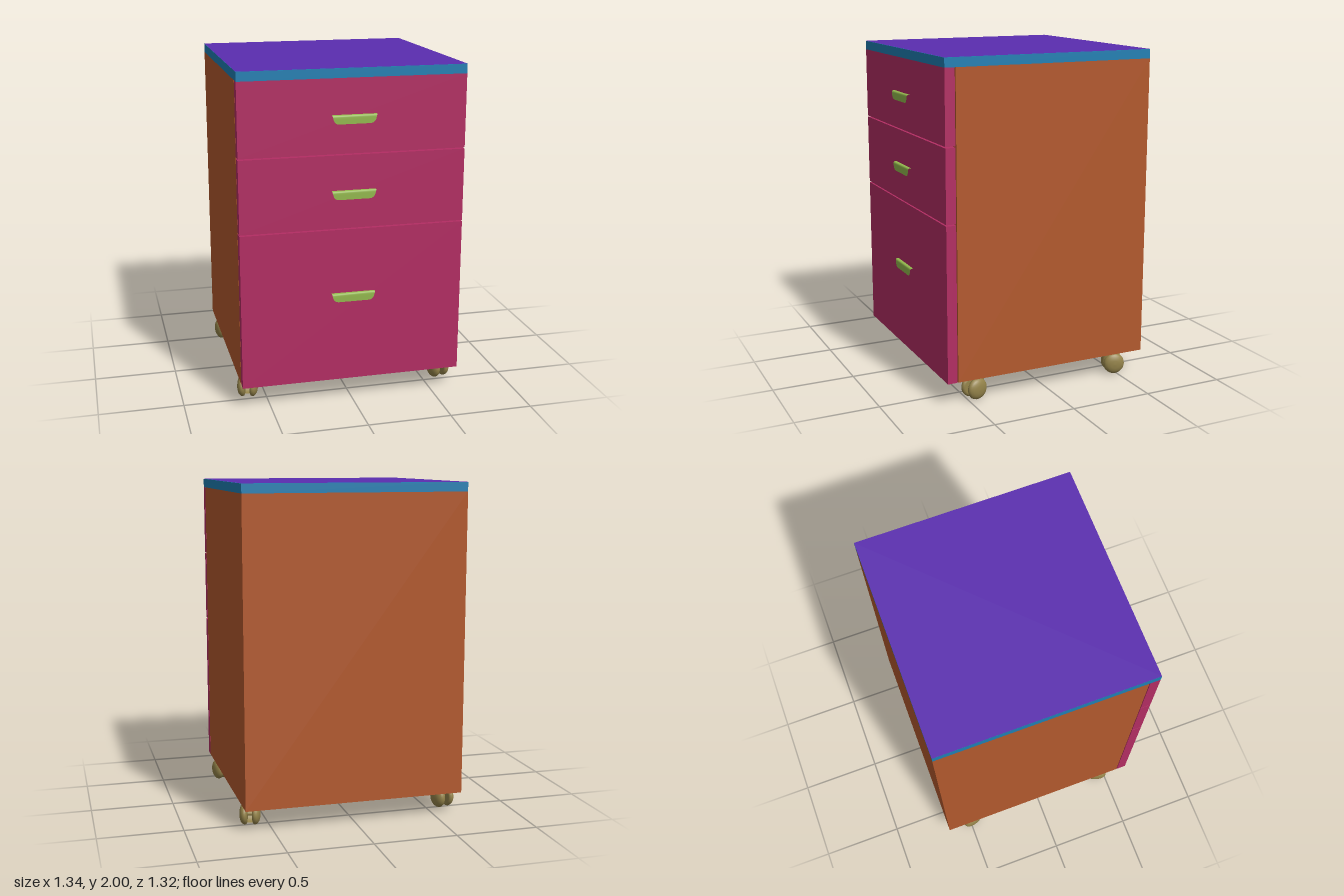
import * as THREE from 'three';

const mat = (color, extra = {}) => new THREE.MeshStandardMaterial({ color, ...extra });
const orange = mat(0xb3592d);
const magenta = mat(0xb32d63);
const blue = mat(0x1f7fb3);
const purple = mat(0x5a2db0);
const green = mat(0x93b84d, { side: THREE.DoubleSide });
const tan = mat(0x94834a);
const tanSheet = mat(0x94834a, { side: THREE.DoubleSide });

const W = 1.33, BACK = -0.66, FRONT = 0.64;

function add(parent, name, geometry, material, x = 0, y = 0, z = 0) {
  const mesh = new THREE.Mesh(geometry, material);
  mesh.name = name;
  mesh.position.set(x, y, z);
  parent.add(mesh);
  return mesh;
}

// Box given by its y and z limits, full cabinet width
function slab(parent, name, material, y0, y1, z0, z1) {
  return add(parent, name, new THREE.BoxGeometry(W, y1 - y0, z1 - z0), material,
    0, (y0 + y1) / 2, (z0 + z1) / 2);
}

// Bent sheet pull: each row is [half width, y, z], from the drawer face over and down
function handleGeometry() {
  const rows = [
    [0.13, 0, 0], [0.13, 0, 0.011], [0.13, -0.002, 0.016], [0.129, -0.006, 0.019],
    [0.127, -0.013, 0.02], [0.124, -0.025, 0.02], [0.119, -0.036, 0.02],
    [0.112, -0.044, 0.02], [0.103, -0.049, 0.02], [0.092, -0.051, 0.02],
  ];
  const g = new THREE.PlaneGeometry(2, 1, 1, rows.length - 1);
  const p = g.attributes.position;
  for (let i = 0; i < p.count; i++) {
    const [w, y, z] = rows[Math.floor(i / 2)];
    p.setXYZ(i, Math.sign(p.getX(i)) * w, y, z);
  }
  g.computeVertexNormals();
  return g;
}

// Domed wheel half, axis along +x
function wheelGeometry() {
  const r = 0.065;
  const profile = [
    [0, -0.018], [0.05, -0.018], [0.06, -0.014], [r, -0.004], [0.063, 0.006],
    [0.056, 0.015], [0.043, 0.023], [0.024, 0.028], [0, 0.029],
  ].map(([x, y]) => new THREE.Vector2(x, y));
  return new THREE.LatheGeometry(profile, 28).rotateZ(-Math.PI / 2);
}

// Twin-wheel caster trailing toward +z, origin on the floor below the axle
function makeCaster(name) {
  const caster = new THREE.Group();
  caster.name = name;
  const wheel = wheelGeometry();
  add(caster, 'outerWheel', wheel, tan, 0.033, 0.065, 0);
  add(caster, 'innerWheel', wheel, tan, -0.033, 0.065, 0).rotation.y = Math.PI;
  add(caster, 'axle', new THREE.CylinderGeometry(0.014, 0.014, 0.05, 16).rotateZ(Math.PI / 2),
    tan, 0, 0.065, 0);
  // Curved cover between the wheels, over the top and down the stem side
  const hood = new THREE.CylinderGeometry(0.06, 0.06, 0.04, 20, 1, true, 0, Math.PI * 0.85);
  hood.rotateZ(Math.PI / 2).rotateX(-Math.PI * 0.6);
  add(caster, 'hood', hood, tanSheet, 0, 0.065, 0);
  add(caster, 'web', new THREE.BoxGeometry(0.012, 0.07, 0.05), tan, 0, 0.085, -0.03);
  add(caster, 'swivelSocket', new THREE.CylinderGeometry(0.026, 0.026, 0.075, 20), tan,
    0, 0.0925, -0.042);
  add(caster, 'stem', new THREE.CylinderGeometry(0.014, 0.014, 0.05, 16), tan, 0, 0.12, -0.042);
  return caster;
}

export function createModel() {
  const model = new THREE.Group();
  model.name = 'drawerCabinet';

  // Carcass and top
  slab(model, 'carcass', orange, 0.135, 1.945, BACK, 0.575);
  slab(model, 'topPanelEdge', blue, 1.945, 1.999, BACK, FRONT);
  add(model, 'topSurface', new THREE.PlaneGeometry(W, FRONT - BACK).rotateX(-Math.PI / 2),
    purple, 0, 2, (FRONT + BACK) / 2);

  // Drawers: [bottom, top, handle top]
  const handle = handleGeometry();
  const drawers = [[0.135, 1.068, 0.683], [1.076, 1.507, 1.302], [1.515, 1.945, 1.739]];
  drawers.forEach(([y0, y1, hy], i) => {
    const drawer = new THREE.Group();
    drawer.name = `drawer${i + 1}`;
    slab(drawer, 'drawerFront', magenta, y0, y1, 0.58, FRONT);
    // Drawer box end closing the gap behind the front
    add(drawer, 'drawerBacking', new THREE.BoxGeometry(W - 0.06, y1 - y0 - 0.04, 0.02),
      orange, 0, (y0 + y1) / 2, 0.575);
    add(drawer, 'handle', handle, green, 0, hy, FRONT);
    model.add(drawer);
  });

  // Casters, swivelled outward at each corner
  const turn = 0.25;
  for (const sx of [1, -1]) {
    for (const sz of [1, -1]) {
      const caster = makeCaster(`${sz > 0 ? 'front' : 'back'}${sx > 0 ? 'Left' : 'Right'}Caster`);
      caster.position.set(sx * 0.607, 0, sz > 0 ? 0.452 : -0.492);
      caster.rotation.y = sz > 0 ? sx * turn : Math.PI - sx * turn;
      model.add(caster);
    }
  }
  return model;
}
